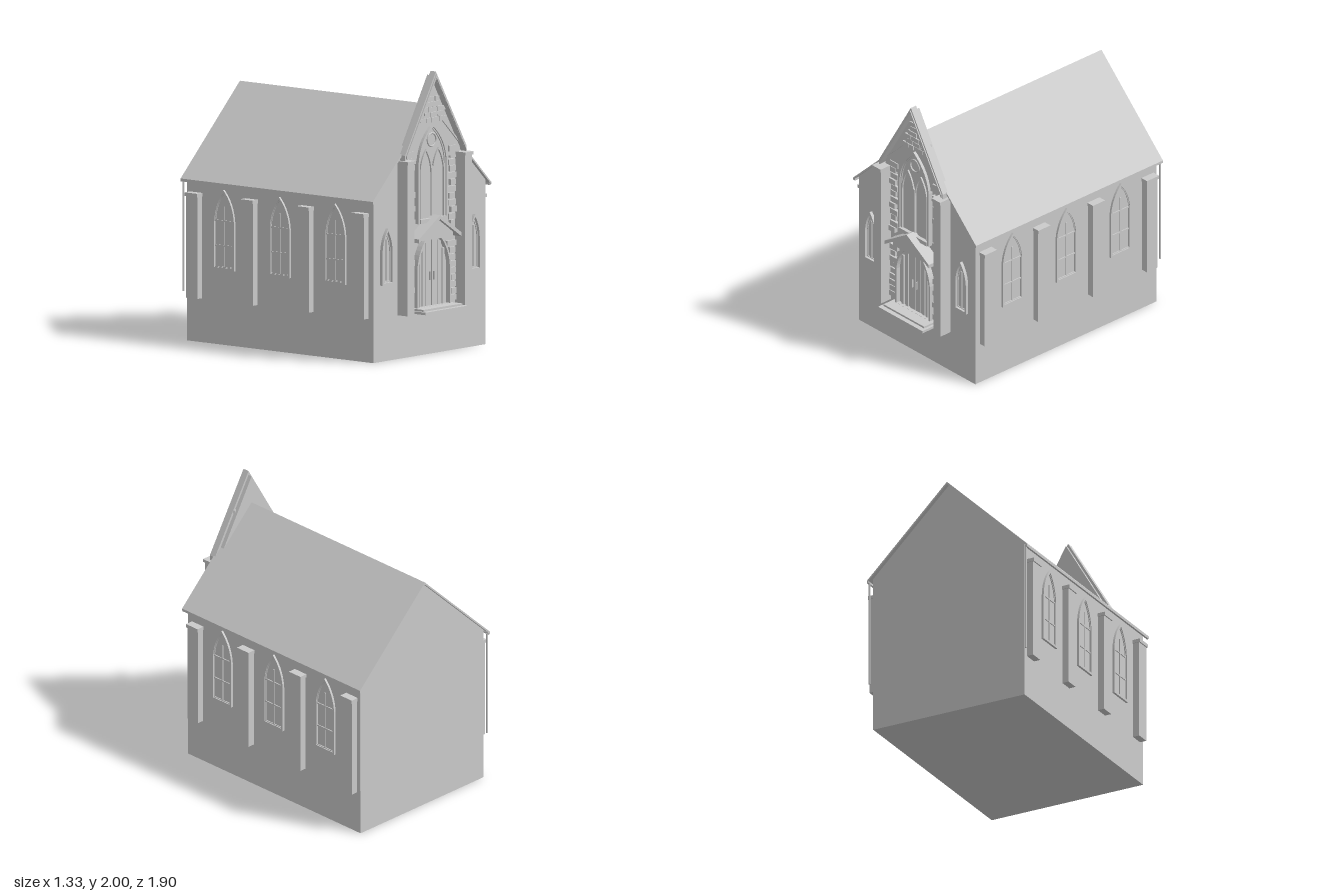
import * as THREE from 'three';

const grey = new THREE.MeshStandardMaterial({ color: 0xcccccc, flatShading: true });

function add(parent, geometry, name) {
  const m = new THREE.Mesh(geometry, grey);
  m.name = name;
  parent.add(m);
  return m;
}

function group(parent, name) {
  const g = new THREE.Group();
  g.name = name;
  parent.add(g);
  return g;
}

// box given by its limits
function box(parent, name, x0, x1, y0, y1, z0, z1) {
  const m = add(parent, new THREE.BoxGeometry(x1 - x0, y1 - y0, z1 - z0), name);
  m.position.set((x0 + x1) / 2, (y0 + y1) / 2, (z0 + z1) / 2);
  return m;
}

// shape in xy, extruded from z0 to z1
function slab(parent, name, shape, z0, z1) {
  const g = new THREE.ExtrudeGeometry(shape, { depth: z1 - z0, bevelEnabled: false, curveSegments: 10 });
  g.translate(0, 0, z0);
  return add(parent, g, name);
}

const poly = (pts) => new THREE.Shape(pts.map(([x, y]) => new THREE.Vector2(x, y)));

// pointed arch outline centred on x = cx
function arch(w, y0, spring, apex, cx = 0) {
  const s = new THREE.Shape();
  const k = spring + (apex - spring) * 0.6;
  s.moveTo(cx - w, y0);
  s.lineTo(cx + w, y0);
  s.lineTo(cx + w, spring);
  s.quadraticCurveTo(cx + w * 0.9, k, cx, apex);
  s.quadraticCurveTo(cx - w * 0.9, k, cx - w, spring);
  s.closePath();
  return s;
}

function archFrame(parent, name, w, y0, spring, apex, t, z0, z1, cx = 0) {
  const s = arch(w, y0, spring, apex, cx);
  s.holes.push(arch(w - t, y0 + t, spring, apex - t * 1.3, cx));
  return slab(parent, name, s, z0, z1);
}

// inverted V strip following a gable
function chevron(parent, name, w, eave, apex, t, z0, z1) {
  return slab(parent, name, poly([[-w, eave], [-w, eave - t], [0, apex - t], [w, eave - t], [w, eave], [0, apex]]), z0, z1);
}

function sideWindow() {
  const g = new THREE.Group();
  g.name = 'sideWindow';
  archFrame(g, 'windowFrame', 0.098, 0.53, 0.87, 1.095, 0.016, -0.01, 0.016);
  archFrame(g, 'innerFrame', 0.084, 0.545, 0.87, 1.075, 0.007, -0.01, 0.009);
  slab(g, 'windowPane', arch(0.082, 0.545, 0.87, 1.075), -0.01, 0.002);
  box(g, 'mullion', -0.005, 0.005, 0.54, 0.98, 0, 0.009);
  for (const y of [0.7, 0.875]) box(g, 'glazingBar', -0.08, 0.08, y - 0.005, y + 0.005, 0, 0.009);
  return g;
}

export function createModel() {
  const root = new THREE.Group();
  root.name = 'chapel';

  // main hall and roof
  slab(root, 'hallWalls', poly([[-0.605, 0], [0.605, 0], [0.605, 1.163], [0, 1.749], [-0.605, 1.163]]), -0.92, 0.79);
  chevron(root, 'roof', 0.64, 1.145, 1.765, 0.016, -0.95, 0.815);

  // side walls: buttresses, windows, gutters, rear downpipes
  for (const s of [-1, 1]) {
    const side = group(root, s < 0 ? 'rightSide' : 'leftSide');
    side.rotation.y = s * Math.PI / 2;
    for (const z of [0.695, 0.19, -0.325, -0.835]) {
      const x = -s * z;
      box(side, 'sideButtress', x - 0.051, x + 0.051, 0.31, 1.035, 0.6, 0.655);
      box(side, 'buttressCap', x - 0.057, x + 0.057, 1.03, 1.055, 0.6, 0.664);
    }
    for (const z of [0.445, -0.065, -0.575]) {
      const w = sideWindow();
      w.position.set(-s * z, 0, 0.605);
      side.add(w);
    }
    box(root, 'gutter', s * 0.632 - 0.007, s * 0.632 + 0.007, 1.125, 1.14, -0.95, 0.81);
    const pipe = add(root, new THREE.CylinderGeometry(0.007, 0.007, 0.78, 8), 'downpipe');
    pipe.position.set(s * 0.625, 0.74, -0.937);
  }

  // raised front gable with coping
  const front = group(root, 'frontGable');
  slab(front, 'gableWall', poly([[-0.315, 1.38], [0.315, 1.38], [0.315, 1.43], [0, 1.97], [-0.315, 1.43]]), 0.77, 0.805);
  chevron(front, 'coping', 0.332, 1.44, 2.0, 0.045, 0.8, 0.85);
  chevron(front, 'copingMoulding', 0.322, 1.435, 1.978, 0.022, 0.84, 0.858);

  for (const s of [-1, 1]) {
    // front buttresses
    const x = s * 0.31;
    box(front, 'frontButtress', x - 0.036, x + 0.036, 0.31, 1.385, 0.78, 0.885);
    box(front, 'frontButtressCap', x - 0.045, x + 0.045, 1.38, 1.402, 0.78, 0.895);

    // narrow lancet windows
    const lancet = group(root, 'lancetWindow');
    lancet.position.x = s * 0.47;
    archFrame(lancet, 'lancetFrame', 0.062, 0.54, 0.77, 0.937, 0.015, 0.78, 0.813);
    archFrame(lancet, 'lancetInnerFrame', 0.04, 0.56, 0.77, 0.895, 0.006, 0.78, 0.8);
    slab(lancet, 'lancetPane', arch(0.048, 0.555, 0.77, 0.915), 0.78, 0.793);
    box(lancet, 'lancetBar', -0.006, 0.006, 0.57, 0.86, 0.78, 0.802);
  }

  // large twin window with round light
  const big = group(root, 'greatWindow');
  archFrame(big, 'outerFrame', 0.16, 0.935, 1.36, 1.632, 0.018, 0.78, 0.827);
  archFrame(big, 'innerFrame', 0.142, 0.952, 1.36, 1.608, 0.009, 0.78, 0.817);
  slab(big, 'windowPane', arch(0.142, 0.95, 1.36, 1.61), 0.78, 0.808);
  for (const s of [-1, 1]) archFrame(big, 'twinLight', 0.066, 0.955, 1.28, 1.455, 0.01, 0.8, 0.82, s * 0.067);
  box(big, 'centreMullion', -0.009, 0.009, 0.95, 1.33, 0.8, 0.824);
  box(big, 'windowSill', -0.145, 0.145, 0.935, 0.965, 0.78, 0.835);
  const ring = add(big, new THREE.TorusGeometry(0.046, 0.007, 6, 24), 'roundLight');
  ring.position.set(0, 1.515, 0.812);

  // door with planks, handles, hood and steps
  const door = group(root, 'doorway');
  archFrame(door, 'doorFrame', 0.182, 0.33, 0.62, 0.9, 0.015, 0.78, 0.835);
  slab(door, 'doorLeaf', arch(0.17, 0.33, 0.62, 0.88), 0.78, 0.802);
  for (const s of [-1, 1]) {
    for (const [i, x] of [0.03, 0.085, 0.125].entries()) {
      const w = [0.025, 0.014, 0.01][i];
      box(door, 'doorPlank', s * x - w, s * x + w, 0.34, [0.84, 0.8, 0.74][i], 0.8, 0.808 + i * 0.003);
    }
    box(door, 'doorHandle', s * 0.022 - 0.003, s * 0.022 + 0.003, 0.525, 0.585, 0.8, 0.82);
  }
  slab(door, 'porchPediment', poly([[-0.17, 0.82], [0.17, 0.82], [0.17, 0.85], [0, 0.965], [-0.17, 0.85]]), 0.78, 0.862);
  chevron(door, 'porchRoof', 0.23, 0.842, 0.988, 0.028, 0.78, 0.89);
  box(door, 'lowerStep', -0.23, 0.23, 0.312, 0.33, 0.78, 0.95);
  box(door, 'upperStep', -0.21, 0.21, 0.33, 0.344, 0.78, 0.915);

  // rough quoin stones beside door and window
  const stones = group(root, 'quoinStones');
  let seed = 7;
  const rnd = () => (seed = (seed * 16807) % 2147483647) / 2147483647;
  for (const s of [-1, 1]) {
    for (let i = 0; i < 23; i++) {
      const y = 0.355 + i * 0.048;
      if (y > 0.78 && y < 0.86) continue;
      const inner = 0.175 + (i % 2) * 0.025 + rnd() * 0.012;
      const outer = 0.25 + rnd() * 0.022;
      box(stones, 'quoin', Math.min(s * inner, s * outer), Math.max(s * inner, s * outer), y, y + 0.04, 0.78, 0.806 + rnd() * 0.01);
    }
  }
  // stones in the gable peak
  const rows = [[-0.125, -0.06, -0.01, 0.08, 0.15], [-0.08, -0.015, 0.06, 0.13], [-0.1, -0.04, 0.05, 0.15],
    [-0.07, 0.02, 0.09], [-0.05, 0.03, 0.075], [-0.055, 0.005]];
  rows.forEach((xs, r) => {
    const y = 1.638 + r * 0.037;
    for (let i = 0; i < xs.length - 1; i++) box(stones, 'peakStone', xs[i] + 0.003, xs[i + 1] - 0.003, y, y + 0.033, 0.79, 0.814 + rnd() * 0.006);
  });

  return root;
}
